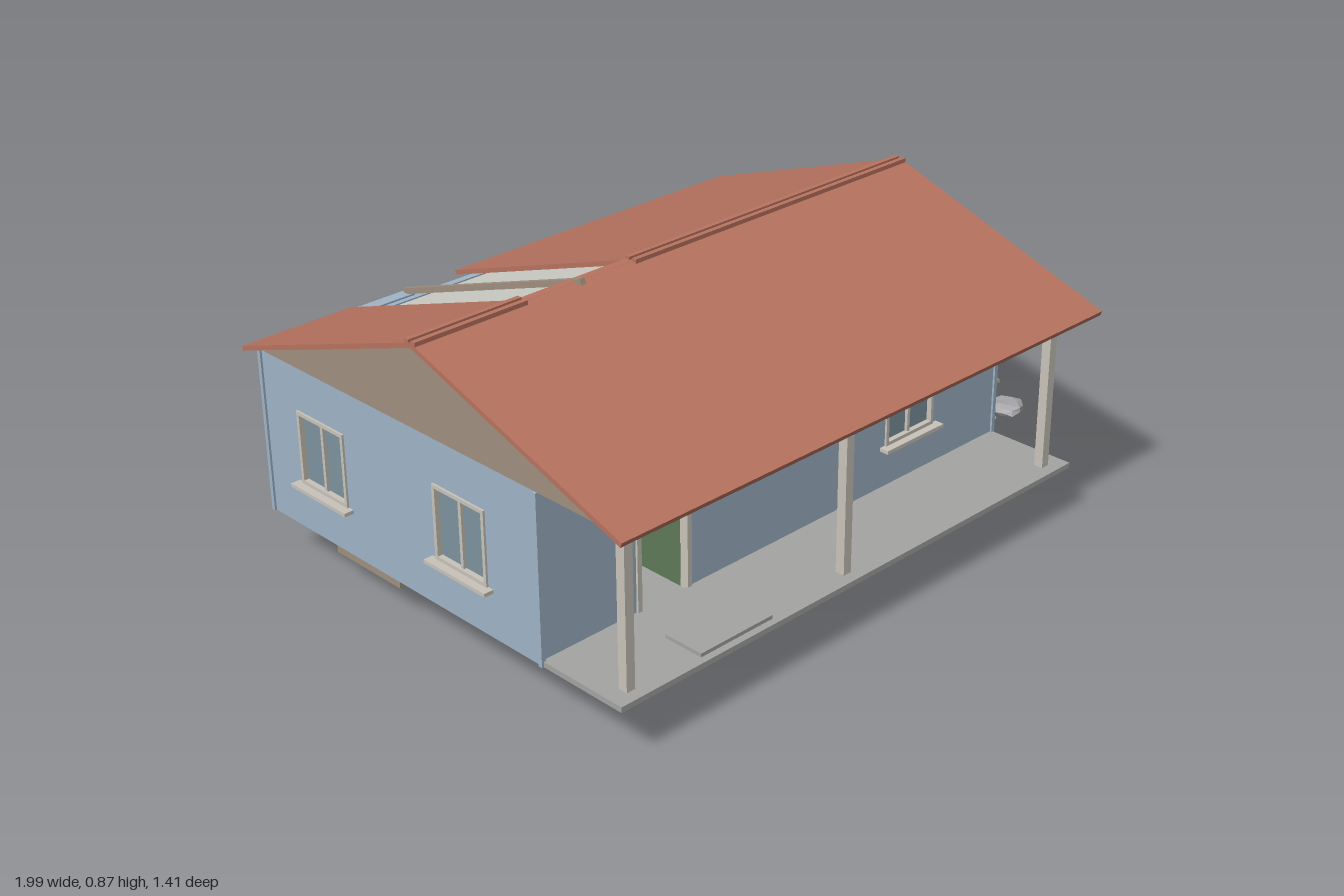
import * as THREE from 'three';

const C = { wall: 0x9fb4c8, roof: 0xb8735f, tan: 0xa08f7e, trim: 0xc9c4ba, floor: 0xa4a4a2, glass: 0x7d929e, green: 0x5f7a58, yellow: 0xb08c45, ceiling: 0xc9c9c4, rock: 0xa5a5a8 };
const mat = (color, opts = {}) => new THREE.MeshStandardMaterial({ color, ...opts });

function add(parent, name, geo, color, opts) {
  const m = new THREE.Mesh(geo, mat(color, opts));
  m.name = name;
  parent.add(m);
  return m;
}

// Box given by its extents
function box(parent, name, [x0, x1], [y0, y1], [z0, z1], color) {
  const m = add(parent, name, new THREE.BoxGeometry(x1 - x0, y1 - y0, z1 - z0), color);
  m.position.set((x0 + x1) / 2, (y0 + y1) / 2, (z0 + z1) / 2);
  return m;
}

// Square bar between two points
function bar(parent, name, a, b, w, h, color) {
  const p = new THREE.Vector3(...a), q = new THREE.Vector3(...b);
  const m = add(parent, name, new THREE.BoxGeometry(w, h, p.distanceTo(q)), color);
  m.position.copy(p).add(q).multiplyScalar(0.5);
  m.lookAt(q);
  return m;
}

// Upright wall with rectangular holes: outside faces local +z, base at y = 0
function wallPanel(parent, name, u0, u1, height, holes, color, thick = 0.02) {
  const rect = (T, a, b, c, d) => {
    const s = new T();
    s.moveTo(a, c); s.lineTo(b, c); s.lineTo(b, d); s.lineTo(a, d); s.closePath();
    return s;
  };
  const shape = rect(THREE.Shape, u0, u1, 0, height);
  holes.forEach(h => shape.holes.push(rect(THREE.Path, h.u - h.w / 2, h.u + h.w / 2, h.y0, h.y1)));
  const geo = new THREE.ExtrudeGeometry(shape, { depth: thick, bevelEnabled: false });
  geo.translate(0, 0, -thick);
  return add(parent, name, geo, color);
}

// Frame around an opening
function frame(g, h, t) {
  const a = h.u - h.w / 2, b = h.u + h.w / 2, z = [-0.024, 0.006];
  box(g, 'frameSide', [a, a + t], [h.y0, h.y1], z, C.trim);
  box(g, 'frameSide', [b - t, b], [h.y0, h.y1], z, C.trim);
  box(g, 'frameTop', [a, b], [h.y1 - t, h.y1], z, C.trim);
  return [a, b];
}

function windowUnit(parent, h) {
  const g = new THREE.Group();
  g.name = 'window';
  parent.add(g);
  const [a, b] = frame(g, h, 0.01);
  box(g, 'frameBottom', [a, b], [h.y0, h.y0 + 0.01], [-0.024, 0.006], C.trim);
  box(g, 'mullion', [h.u - 0.005, h.u + 0.005], [h.y0, h.y1], [-0.018, 0], C.trim);
  box(g, 'sill', [a - 0.018, b + 0.018], [h.y0 - 0.01, h.y0], [-0.025, 0.028], C.trim);
  if (!h.broken) return box(g, 'glass', [a, b], [h.y0, h.y1], [-0.013, -0.009], C.glass);
  // Remaining shard of a broken pane
  const s = new THREE.Shape([[a, 0.25], [b, 0.28], [b, h.y1], [a, h.y1 - 0.02]].map(p => new THREE.Vector2(...p)));
  add(g, 'glassShard', new THREE.ShapeGeometry(s), C.glass, { side: THREE.DoubleSide }).position.z = -0.011;
}

function doorway(parent, h) {
  const g = new THREE.Group();
  g.name = 'doorway';
  parent.add(g);
  frame(g, h, 0.014);
}

// Irregular low-poly boulder
function rock(parent, x, y, z, rx, ry, rz, seed) {
  const geo = new THREE.IcosahedronGeometry(1, 1);
  const p = geo.attributes.position;
  for (let i = 0; i < p.count; i++) {
    const [a, b, c] = [p.getX(i), p.getY(i), p.getZ(i)];
    const k = 0.9 + 0.16 * Math.sin(a * 5 + seed) * Math.cos(b * 4 + c * 6 + seed * 2);
    p.setXYZ(i, a * k * rx, b * k * ry, c * k * rz);
  }
  geo.computeVertexNormals();
  add(parent, 'rubbleRock', geo, C.rock, { flatShading: true }).position.set(x, y, z);
}

export function createModel() {
  const house = new THREE.Group();
  house.name = 'house';
  const win = (u, broken = false) => ({ u, w: 0.19, y0: 0.135, y1: 0.34, win: true, broken });
  const door = (u, w) => ({ u, w, y0: 0.005, y1: 0.34 });

  // Outer walls, each with its own windows and doorways
  const walls = [
    ['frontWall', [0, 0.39], 0, -0.97, 0.68, [door(-0.58, 0.18), win(0.32)]],
    ['backWall', [0, -0.67], Math.PI, -0.68, 0.97, [door(0.115, 0.16), win(0.585)]],
    ['leftWall', [0.68, 0], Math.PI / 2, -0.39, 0.67, [win(-0.16, true), win(0.495)]],
    ['rightWall', [-0.97, 0], -Math.PI / 2, -0.67, 0.39, [win(-0.43), win(0.11)]],
  ];
  for (const [name, [x, z], turn, u0, u1, holes] of walls) {
    const g = new THREE.Group();
    g.name = name;
    g.position.set(x, 0.15, z);
    g.rotation.y = turn;
    house.add(g);
    wallPanel(g, name + 'Panel', u0, u1, 0.46, holes, C.wall);
    holes.forEach(h => (h.win ? windowUnit(g, h) : doorway(g, h)));
  }
  for (const x of [-0.97, 0.68]) for (const z of [-0.67, 0.39])
    box(house, 'cornerTrim', [x - 0.006, x + 0.006], [0.15, 0.61], [z - 0.006, z + 0.006], C.wall);

  // Floor, ceiling and inner wall
  box(house, 'floor', [-0.965, 0.675], [0.15, 0.158], [-0.665, 0.39], C.floor);
  box(house, 'ceiling', [-0.96, 0.67], [0.596, 0.606], [-0.65, 0.38], C.ceiling);
  const inner = new THREE.Group();
  inner.name = 'innerWall';
  inner.position.set(0.05, 0.15, 0);
  inner.rotation.y = Math.PI / 2;
  house.add(inner);
  const innerDoors = [door(-0.163, 0.185), door(0.492, 0.185)];
  wallPanel(inner, 'innerWallPanel', -0.37, 0.65, 0.446, innerDoors, C.wall);
  innerDoors.forEach(h => doorway(inner, h));

  // Porch
  box(house, 'porchFloor', [-0.97, 0.68], [0.15, 0.165], [0.39, 0.66], C.floor);
  box(house, 'doorStep', [-0.7, -0.46], [0.165, 0.175], [0.52, 0.64], C.floor);
  for (const x of [-0.91, -0.18, 0.615])
    box(house, 'porchPost', [x - 0.013, x + 0.013], [0.165, 0.63], [0.6, 0.627], C.trim);
  box(house, 'porchBeam', [-0.96, 0.67], [0.606, 0.622], [0.603, 0.624], C.trim);

  // Gables
  for (const x of [-0.97, 0.66]) {
    const s = new THREE.Shape([[-0.655, 0.61], [0.655, 0.61], [0, 0.843]].map(p => new THREE.Vector2(...p)));
    const geo = new THREE.ExtrudeGeometry(s, { depth: 0.02, bevelEnabled: false });
    geo.rotateY(-Math.PI / 2).translate(0.02, 0, 0);
    add(house, 'gable', geo, C.tan).position.x = x;
  }

  // Roof slopes, with a stretch missing from the back one
  const slope = (x0, x1, side) => {
    const m = (x0 + x1) / 2;
    bar(house, 'roofSlope', [m, 0.852, 0], [m, 0.612, side * 0.703], x1 - x0, 0.013, C.roof);
  };
  slope(-1, 0.71, 1);
  slope(-1, -0.66, -1);
  slope(-0.31, 0.71, -1);
  for (const [x0, x1] of [[-1, -0.66], [-0.31, 0.71]]) for (const z of [-0.012, 0.012])
    bar(house, 'ridgeCap', [x0, 0.858, z], [x1, 0.858, z], 0.014, 0.012, C.roof);
  box(house, 'ridgeStrip', [-0.66, -0.31], [0.846, 0.857], [-0.018, 0.006], C.roof);
  bar(house, 'exposedRafter', [-0.49, 0.862, 0.024], [-0.49, 0.618, -0.69], 0.016, 0.016, C.tan);
  box(house, 'eaveBoard', [-0.66, -0.48], [0.607, 0.615], [-0.7, -0.665], C.wall);

  // Sunken masonry and furniture
  for (const z of [0.163, -0.492]) {
    box(house, 'footing', [0, 0.085], [0, 0.156], [z - 0.092, z + 0.092], C.tan);
    box(house, 'footingLeaf', [0.085, 0.105], [0.01, 0.156], [z - 0.092, z - 0.045], C.tan);
  }
  box(house, 'stool', [0.57, 0.64], [0.115, 0.22], [-0.47, -0.41], C.tan);
  box(house, 'bed', [0.33, 0.62], [0.138, 0.2], [0.03, 0.23], C.tan);
  box(house, 'bench', [-0.32, -0.25], [0.12, 0.22], [0.02, 0.2], C.tan);
  box(house, 'cabinet', [-0.93, -0.84], [0.09, 0.3], [-0.46, -0.2], C.tan);
  box(house, 'wardrobe', [-0.94, -0.82], [0.138, 0.43], [0.07, 0.33], C.green);
  box(house, 'crate', [-0.62, -0.49], [0.138, 0.24], [-0.12, -0.02], C.yellow);
  box(house, 'openDoor', [-0.505, -0.493], [0.16, 0.48], [0.2, 0.37], C.green);
  // Open basin
  for (const z of [-0.25, -0.14]) box(house, 'basinSide', [-0.07, 0.17], [0.115, 0.22], [z, z + 0.02], C.trim);
  for (const x of [-0.07, 0.15]) box(house, 'basinEnd', [x, x + 0.02], [0.115, 0.22], [-0.23, -0.14], C.trim);
  // Table legs through the floor
  [[-0.595, -0.38, 0.045], [-0.57, -0.28, 0.09], [-0.54, -0.34, 0.09], [-0.51, -0.3, 0.09], [-0.5, -0.36, 0.09], [-0.42, -0.38, 0.045]]
    .forEach(([x, z, y]) => box(house, 'tableLeg', [x - 0.005, x + 0.005], [y, 0.23], [z - 0.005, z + 0.005], C.tan));
  box(house, 'tableTop', [-0.61, -0.41], [0.23, 0.242], [-0.4, -0.27], C.yellow);

  // Rubble beside the house
  rock(house, 0.728, 0.15, 0.285, 0.078, 0.036, 0.078, 1);
  rock(house, 0.858, 0.147, 0.17, 0.06, 0.022, 0.056, 2.3);
  rock(house, 0.858, 0.147, 0.3, 0.056, 0.024, 0.06, 4.1);
  bar(house, 'loosePlank', [0.905, 0.184, 0.23], [0.985, 0.156, -0.025], 0.02, 0.01, C.tan);
  return house;
}
